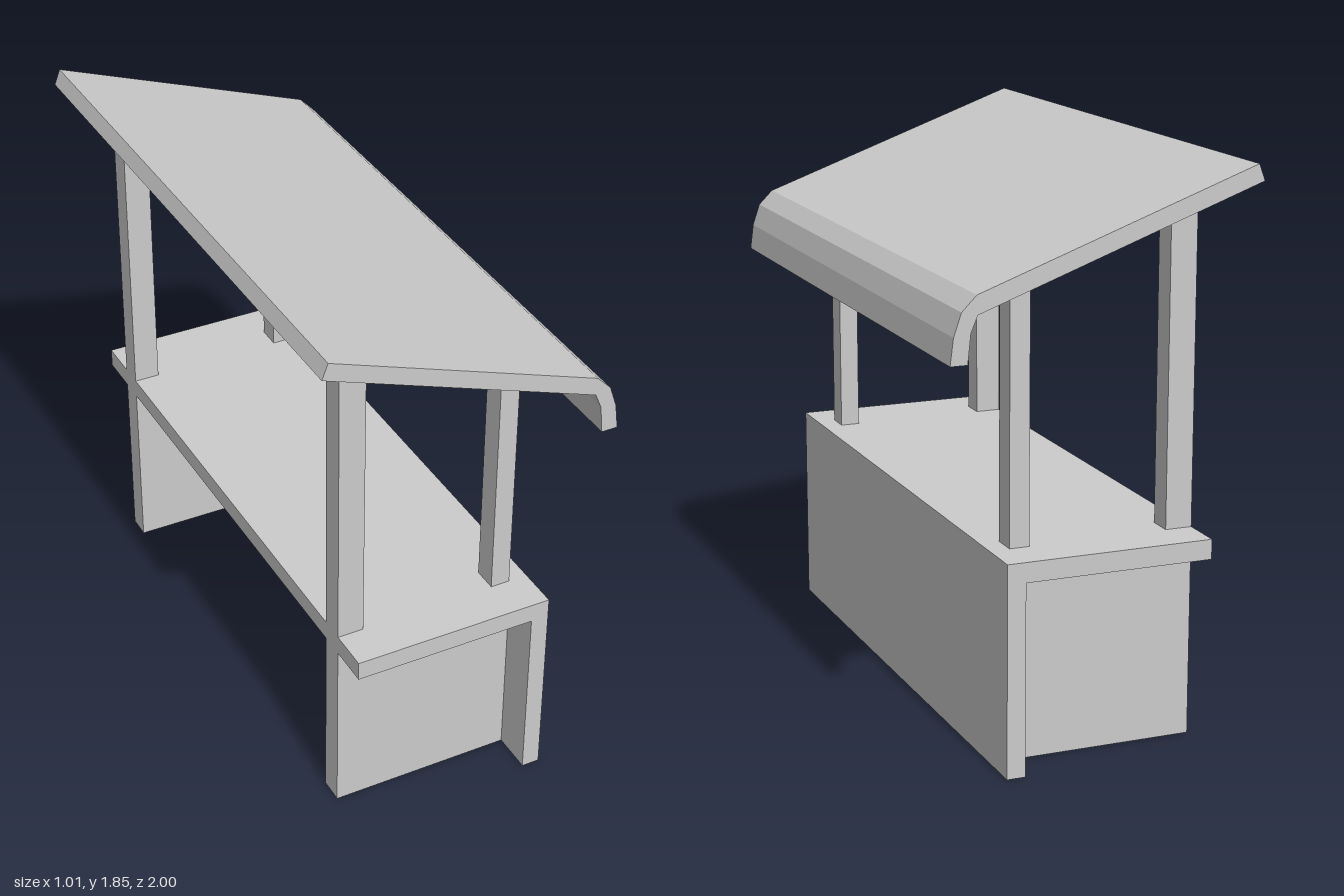
import * as THREE from 'three';

const material = new THREE.MeshStandardMaterial({ color: 0xcccccc, flatShading: true });

// Extrude an (x, y) outline along z, centred on z
function slab(name, points, depth, z) {
  const shape = new THREE.Shape(points.map(([x, y]) => new THREE.Vector2(x, y)));
  const geometry = new THREE.ExtrudeGeometry(shape, { depth, bevelEnabled: false });
  geometry.translate(0, 0, z - depth / 2);
  const mesh = new THREE.Mesh(geometry, material);
  mesh.name = name;
  return mesh;
}

// Height of the roof's underside at x
const roofUnderside = (x) => 1.8 - 0.363 * (x + 0.508);

export function createModel() {
  const stall = new THREE.Group();
  stall.name = 'marketStall';

  const back = -0.368, front = 0.315, panelBack = 0.254;
  const topY = 0.69, underY = 0.625, offset = -0.003;

  // Worktop and front panel, one L-shaped section
  stall.add(slab('counter', [
    [back, underY], [panelBack, underY], [panelBack, 0],
    [front, 0], [front, topY], [back, topY],
  ], 1.958, offset));

  // Sloping roof with a rounded lip over the front
  stall.add(slab('roof', [
    [-0.508, 1.8], [0.417, 1.464], [0.439, 1.412], [0.449, 1.318],
    [0.504, 1.318], [0.493, 1.403], [0.468, 1.476], [0.42, 1.524], [-0.488, 1.853],
  ], 2, 0));

  for (const side of [1, -1]) {
    const prefix = side > 0 ? 'left' : 'right';
    const z = side * 0.796, width = 0.083;
    const end = side > 0 ? 'frontEnd' : 'backEnd';

    // Upright panel under the worktop
    stall.add(slab(`${end}SidePanel`, [
      [back, 0], [panelBack, 0], [panelBack, underY], [back, underY],
    ], width, z + offset / 2));

    // Posts cut to the roof slope
    for (const [name, x0, x1] of [['RearPost', back, -0.279], ['CounterPost', 0.184, 0.25]]) {
      stall.add(slab(end + name, [
        [x0, topY], [x1, topY], [x1, roofUnderside(x1)], [x0, roofUnderside(x0)],
      ], width, z + offset / 2));
    }
  }
  return stall;
}
